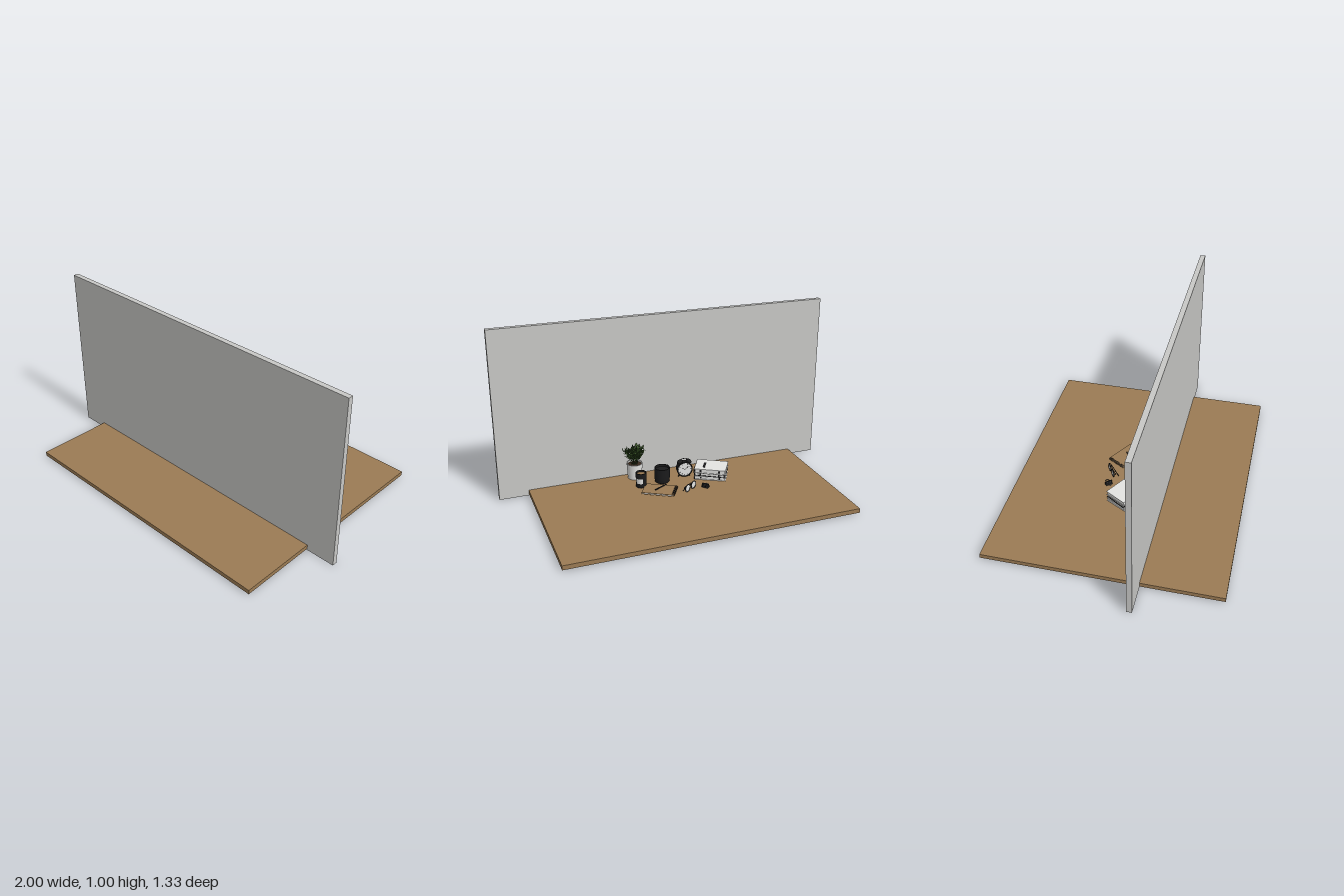
import * as THREE from 'three';
import { mergeGeometries } from 'three/addons/utils/BufferGeometryUtils.js';

const mat = (name, color, side = THREE.FrontSide) => {
  const m = new THREE.MeshStandardMaterial({ color, side });
  m.name = name;
  return m;
};
const M = {
  wood: mat('oak brown', 0x9b7b54),
  wall: mat('wall grey', 0xc8c8c6),
  white: mat('off white', 0xe4e4e2),
  black: mat('matte black', 0x1b1b1c),
  grey: mat('mid grey', 0x8a8a8a),
  leaf: mat('leaf green', 0x3c5a28, THREE.DoubleSide),
  leafDark: mat('deep leaf green', 0x2a421d, THREE.DoubleSide),
  soil: mat('soil brown', 0x3a2a1e),
};
const TOP = 0.033; // desk surface height

function add(parent, name, geo, material, x = 0, y = 0, z = 0) {
  const mesh = new THREE.Mesh(geo, material);
  mesh.name = name;
  mesh.position.set(x, y, z);
  parent.add(mesh);
  return mesh;
}
const box = (w, h, d) => new THREE.BoxGeometry(w, h, d);
const cyl = (r0, r1, h, n = 32) => new THREE.CylinderGeometry(r0, r1, h, n);
const lathe = (pts) => new THREE.LatheGeometry(pts.map(p => new THREE.Vector2(...p)), 40);
function rod(parent, name, material, r, ...pts) {
  const curve = new THREE.CatmullRomCurve3(pts.map(p => new THREE.Vector3(...p)));
  return add(parent, name, new THREE.TubeGeometry(curve, 14, r, 8), material);
}
// A group standing on the desk
function onDesk(root, name, x, z, turn = 0) {
  const g = new THREE.Group();
  g.name = name;
  g.position.set(x, TOP, z);
  g.rotation.y = turn;
  root.add(g);
  return g;
}
function seeded(s) {
  return () => (s = (s * 16807) % 2147483647) / 2147483647;
}

function addPlant(root) {
  const g = onDesk(root, 'pottedPlant', 0.21, 0.133);
  add(g, 'pot', lathe([[0, 0], [0.039, 0], [0.041, 0.002], [0.047, 0.094], [0.046, 0.096],
    [0.043, 0.096], [0.042, 0.094], [0.041, 0.08]]), M.white);
  add(g, 'soil', cyl(0.042, 0.042, 0.004), M.soil, 0, 0.084, 0);

  // Pointed leaf, folded along its middle
  const leaf = new THREE.PlaneGeometry(1, 1, 2, 4).translate(0, 0.5, 0);
  const p = leaf.attributes.position;
  for (let i = 0; i < p.count; i++) {
    const t = p.getY(i), x = p.getX(i) * Math.sin(Math.PI * Math.pow(t, 0.8));
    p.setXYZ(i, x * 0.018, t * 0.03, Math.abs(x) * 0.008 - t * t * 0.006);
  }
  leaf.computeVertexNormals();

  const rnd = seeded(77), leaves = [[], []], stems = [];
  const pose = new THREE.Object3D();
  for (let s = 0; s < 24; s++) {
    const a = s * 2.4, reach = Math.sqrt((s + 0.5) / 24);
    const end = new THREE.Vector3(Math.cos(a) * reach * 0.067, 0.19 - reach * 0.025 + rnd() * 0.012, Math.sin(a) * reach * 0.047);
    const base = new THREE.Vector3(end.x * 0.25, 0.083, end.z * 0.25);
    const mid = new THREE.Vector3(end.x * 0.5, 0.13, end.z * 0.5);
    const curve = new THREE.QuadraticBezierCurve3(base, mid, end);
    stems.push(new THREE.TubeGeometry(curve, 6, 0.001, 5));
    for (let k = 0; k < 10; k++) {
      pose.position.copy(curve.getPoint(0.42 + 0.58 * k / 9));
      pose.rotation.set(0.4 + rnd() * 1.1, a + k * 2.4 + rnd(), 0, 'YXZ');
      pose.scale.setScalar(0.6 + rnd() * 0.35);
      pose.updateMatrix();
      leaves[(s + k) % 3 === 0 ? 1 : 0].push(leaf.clone().applyMatrix4(pose.matrix));
    }
  }
  add(g, 'stems', mergeGeometries(stems), M.leafDark);
  add(g, 'leaves', mergeGeometries(leaves[0]), M.leaf);
  add(g, 'shadedLeaves', mergeGeometries(leaves[1]), M.leafDark);
}

function addMug(root) {
  const g = onDesk(root, 'mug', 0.075, 0.028, -2.4);
  add(g, 'mugBody', lathe([[0, 0], [0.038, 0], [0.043, 0.005], [0.045, 0.03], [0.045, 0.089],
    [0.044, 0.091], [0.042, 0.091], [0.041, 0.089], [0.041, 0.01], [0, 0.008]]), M.black);
  add(g, 'coffee', cyl(0.041, 0.041, 0.002), M.black, 0, 0.075, 0);
  rod(g, 'mugHandle', M.black, 0.0055, [0.043, 0.075, 0], [0.066, 0.074, 0], [0.079, 0.05, 0],
    [0.068, 0.026, 0], [0.043, 0.022, 0]);
}

function addCandle(root) {
  const g = onDesk(root, 'candle', 0.21, 0.01, 0);
  add(g, 'candleJar', lathe([[0, 0], [0.029, 0], [0.031, 0.003], [0.031, 0.087], [0.03, 0.089],
    [0.028, 0.089], [0.027, 0.087], [0.027, 0.06]]), M.black);
  add(g, 'wax', cyl(0.0275, 0.0275, 0.004), M.wood, 0, 0.076, 0);
  add(g, 'wick', cyl(0.001, 0.001, 0.008, 6), M.black, 0, 0.081, 0);
  // Curved label wrapped on the jar
  add(g, 'label', new THREE.CylinderGeometry(0.0315, 0.0315, 0.03, 16, 1, true, Math.PI * 0.6, 1.3), M.white, 0, 0.042, 0);
}

function addClock(root) {
  const g = onDesk(root, 'alarmClock', -0.07, 0.047, -0.12);
  const cy = 0.052;
  const turned = (r, h) => cyl(r, r, h, 40).rotateX(Math.PI / 2);
  add(g, 'clockBody', turned(0.046, 0.034), M.black, 0, cy, 0);
  add(g, 'clockRim', new THREE.TorusGeometry(0.044, 0.004, 10, 40), M.black, 0, cy, -0.017);
  add(g, 'clockFace', turned(0.041, 0.002), M.white, 0, cy, -0.0175);
  for (let i = 0; i < 12; i++) {
    const a = i * Math.PI / 6;
    const tick = add(g, 'hourMark', box(0.002, 0.006, 0.001), M.black, Math.sin(a) * 0.034, cy + Math.cos(a) * 0.034, -0.0188);
    tick.rotation.z = -a;
  }
  for (const [len, a] of [[0.028, 0.9], [0.02, -1.0]]) {
    const hand = add(g, 'clockHand', box(0.003, len, 0.001).translate(0, len / 2, 0), M.black, 0, cy, -0.0192);
    hand.rotation.z = a;
  }
  for (const s of [-1, 1]) {
    const bell = add(g, 'bell', new THREE.SphereGeometry(0.018, 20, 10, 0, Math.PI * 2, 0, Math.PI / 2), M.black, s * 0.026, cy + 0.042, 0);
    bell.scale.y = 0.8;
    bell.rotation.z = -s * 0.5;
    add(g, 'bellUnderside', cyl(0.018, 0.018, 0.002, 20), M.black, s * 0.026, cy + 0.042, 0).rotation.z = -s * 0.5;
    add(g, 'clockFoot', cyl(0.004, 0.003, 0.02, 10), M.black, s * 0.03, 0.009, 0).rotation.z = s * 0.5;
  }
  rod(g, 'carryHandle', M.black, 0.002, [-0.026, 0.1, 0], [-0.018, 0.112, 0], [0, 0.115, 0], [0.018, 0.112, 0], [0.026, 0.1, 0]);
}

function addBooks(root) {
  const g = onDesk(root, 'bookStack', -0.225, 0, -0.535);
  // Each book: height, base, cover, size, slight turn; spine on +z side
  const books = [
    [0.021, 0, M.white, 0.184, 0.135, 0.03],
    [0.019, 0.021, M.black, 0.18, 0.132, -0.04],
    [0.027, 0.04, M.white, 0.186, 0.138, 0],
  ];
  for (const [h, y, cover, w, d, turn] of books) {
    const b = new THREE.Group();
    b.name = 'book';
    b.position.y = y;
    b.rotation.y = turn;
    g.add(b);
    for (const cyy of [0.0015, h - 0.0015]) add(b, 'cover', box(w, 0.003, d), cover, 0, cyy, 0);
    add(b, 'pages', box(w - 0.008, h - 0.006, d - 0.008), M.white, 0, h / 2, 0);
    add(b, 'spine', box(0.004, h, d), M.black, w / 2, h / 2, 0);
    add(b, 'spinePlate', box(0.001, h * 0.4, 0.03), cover === M.black ? M.grey : M.white, w / 2 + 0.0022, h / 2, -0.02);
    // Dark corner tabs on the page edge
    for (const s of [-1, 1]) add(b, 'edgeTab', box(0.01, h * 0.5, 0.001), M.black, s * 0.055, h / 2, -d / 2 + 0.0036);
  }
  add(g, 'titleBar', box(0.014, 0.001, 0.066), M.black, 0.04, 0.0675, -0.005);
}

function addNotebook(root) {
  const g = onDesk(root, 'notebook', 0.13, -0.083, -0.535);
  add(g, 'backCover', box(0.186, 0.002, 0.117), M.wood, 0, 0.001, 0);
  add(g, 'paper', box(0.18, 0.006, 0.112), M.white, 0.001, 0.005, 0);
  add(g, 'frontCover', box(0.186, 0.002, 0.117), M.wood, 0, 0.009, 0);
  for (let i = 0; i < 14; i++)
    add(g, 'bindingRing', new THREE.TorusGeometry(0.007, 0.0014, 6, 14), M.black, -0.089, 0.007, -0.052 + i * 0.008);
  const pen = new THREE.Group();
  pen.name = 'pen';
  pen.position.set(0, 0.0135, 0.016);
  pen.rotation.y = 1.05;
  g.add(pen);
  add(pen, 'penBarrel', cyl(0.0035, 0.0035, 0.08, 14).rotateZ(Math.PI / 2), M.black);
  add(pen, 'penTip', cyl(0.0005, 0.0035, 0.012, 14).rotateZ(Math.PI / 2), M.black, -0.046, 0, 0).rotation.y = Math.PI;
  add(pen, 'penClip', box(0.025, 0.001, 0.002), M.black, 0.026, 0.004, 0);
}

function addGlasses(root) {
  const g = onDesk(root, 'glasses', -0.04, -0.137, 0.58);
  for (const s of [-1, 1]) {
    add(g, 'rim', new THREE.TorusGeometry(0.0215, 0.0025, 8, 32), M.black, s * 0.028, 0.024, 0);
    add(g, 'lens', cyl(0.0205, 0.0205, 0.001).rotateX(Math.PI / 2), M.white, s * 0.028, 0.024, 0);
    // Arms folded across the back
    rod(g, 'arm', M.black, 0.0022, [s * 0.05, 0.03, 0], [s * 0.055, 0.03, 0.008],
      [s * 0.01, 0.028, 0.013 + s * 0.004], [-s * 0.035, 0.025, 0.016 + s * 0.005], [-s * 0.052, 0.012, 0.022 + s * 0.006]);
  }
  rod(g, 'bridge', M.black, 0.0022, [-0.008, 0.028, 0], [0, 0.032, 0], [0.008, 0.028, 0]);
}

function addClip(root) {
  const g = onDesk(root, 'binderClip', -0.135, -0.13, -0.85);
  const tri = new THREE.Shape([[-0.012, 0], [0.012, 0], [0.003, 0.022], [-0.003, 0.022]].map(p => new THREE.Vector2(...p)));
  add(g, 'clipBody', new THREE.ExtrudeGeometry(tri, { depth: 0.04, bevelEnabled: false }).translate(0, 0, -0.02).rotateY(Math.PI / 2), M.black);
  for (const s of [-1, 1])
    rod(g, 'clipWire', s > 0 ? M.grey : M.black, 0.0013, [-0.01, 0.02, s * 0.003], [-0.007, 0.012, s * 0.022], [0, 0.01, s * 0.027], [0.007, 0.012, s * 0.022], [0.01, 0.02, s * 0.003]);
}

export function createModel() {
  const root = new THREE.Group();
  root.name = 'deskScene';
  add(root, 'wall', box(2, 1, 0.03), M.wall, 0, 0.5, 0.2);
  add(root, 'deskTop', box(1.664, 0.025, 1.333), M.wood, 0, TOP - 0.0125, 0);
  for (const part of [addPlant, addMug, addCandle, addClock, addBooks, addNotebook, addGlasses, addClip]) part(root);
  return root;
}
